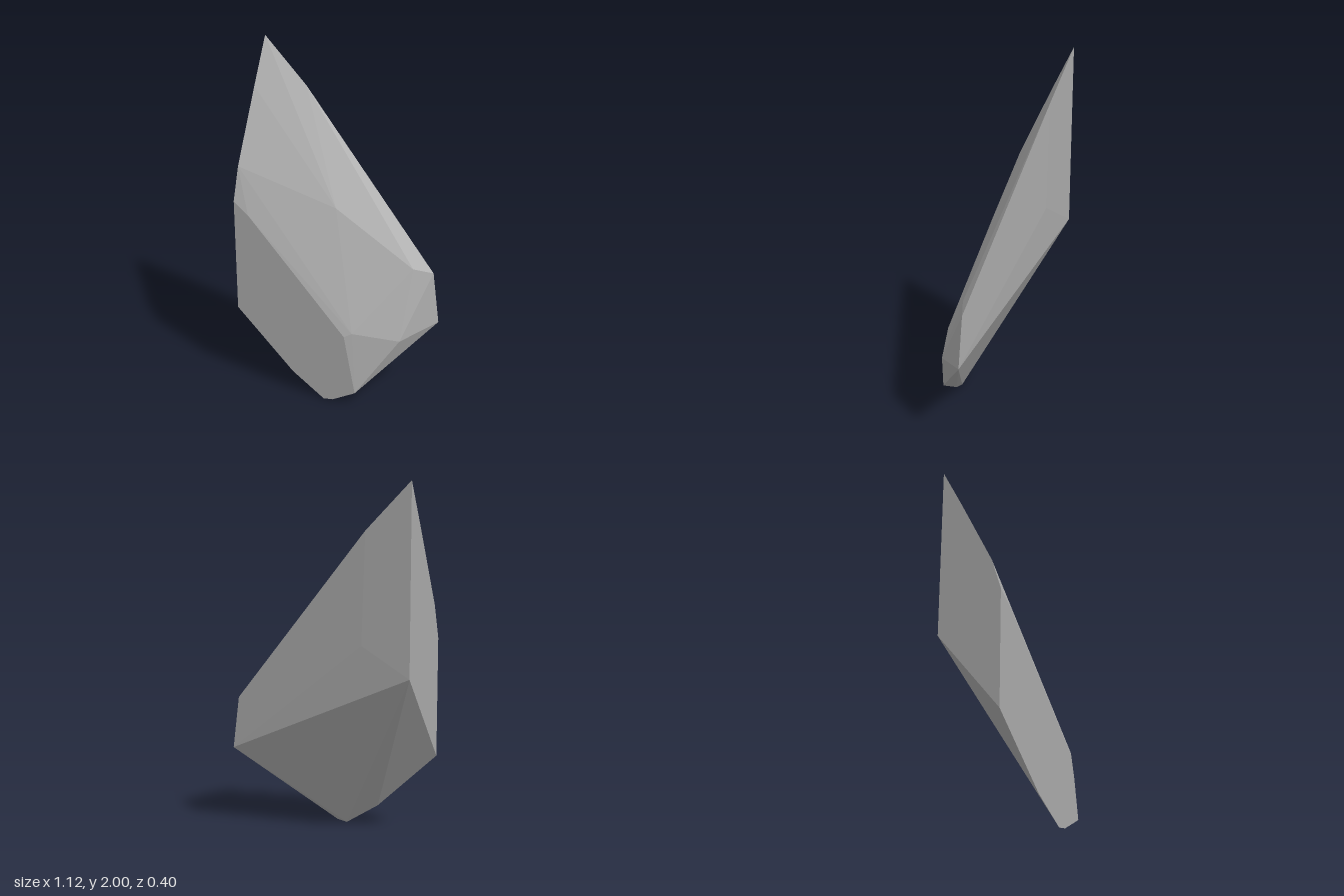
import * as THREE from 'three';
import { ConvexGeometry } from 'three/addons/geometries/ConvexGeometry.js';

export function createModel() {
  const group = new THREE.Group();
  group.name = 'rockShard';
  const stone = new THREE.MeshStandardMaterial({ color: 0xa8a8a8 });
  stone.name = 'grey stone';

  // Corners of the faceted shard, grouped by the side they lie on
  const corners = [
    // flat front face
    [-0.56, 0.47, 0.2], [-0.2, 0.13, 0.2], [0, 0, 0.2], [0.06, 0.01, 0.2],
    [0.2, 0.09, 0.2], [0.13, 0.44, 0.2], [-0.47, 1.07, 0.2], [-0.56, 1.14, 0.2],
    // straight side wall and tip
    [-0.56, 1.33, 0.14], [-0.56, 1.74, -0.065], [-0.56, 2, -0.2], [-0.56, 0.97, -0.2],
    // flat back
    [-0.3, 1.74, -0.2], [-0.28, 1.13, -0.2],
    // sloping top facets
    [-0.02, 1.12, -0.005], [0.42, 0.8, -0.09], [0.17, 0.46, 0.18],
    // blunt right end
    [0.52, 0.77, -0.15], [0.56, 0.47, -0.15], [0.41, 0.41, 0.06],
  ].map((c) => new THREE.Vector3(...c));

  const shard = new THREE.Mesh(new ConvexGeometry(corners), stone);
  shard.name = 'shard';
  group.add(shard);
  return group;
}
